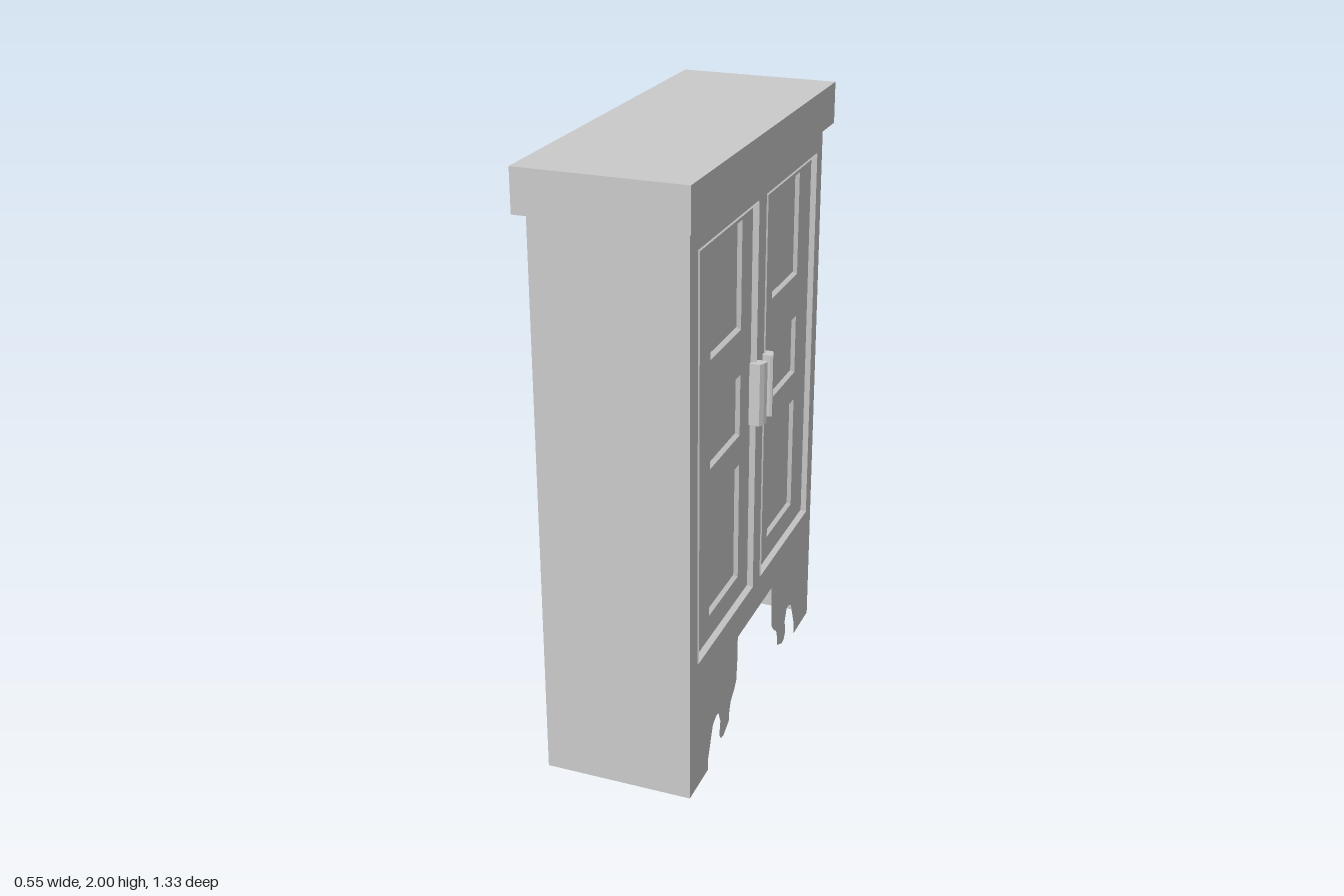
import * as THREE from 'three';

const W = 0.613, TOP = 1.865, FRONT = 0.235, BACK = -0.255;
const mat = new THREE.MeshStandardMaterial({ color: 0xcccccc, flatShading: true, side: THREE.DoubleSide });

// rectangle as [u0, y0, u1, y1]
const inset = ([a, b, c, d], t) => [a + t, b + t, c - t, d - t];
const corners = ([a, b, c, d]) => [[a, b], [c, b], [c, d], [a, d]];
const toPoints = (list) => list.map(([u, y]) => new THREE.Vector2(u, y));

function add(parent, name, geometry) {
  const mesh = new THREE.Mesh(geometry, mat);
  mesh.name = name;
  parent.add(mesh);
  return mesh;
}

// flat sheet facing +z with rectangular openings
function sheet(outline, holes = []) {
  const shape = new THREE.Shape(toPoints(outline));
  holes.forEach((r) => shape.holes.push(new THREE.Path(toPoints(corners(r)))));
  return new THREE.ShapeGeometry(shape);
}

// four sloping strips joining an outer rectangle to an inner one
function slopedRing(outer, zOuter, inner, zInner) {
  const o = corners(outer), n = corners(inner), pos = [];
  for (let i = 0; i < 4; i++) {
    const j = (i + 1) % 4;
    const a = [...o[i], zOuter], b = [...o[j], zOuter], c = [...n[j], zInner], d = [...n[i], zInner];
    pos.push(...a, ...b, ...c, ...a, ...c, ...d);
  }
  const g = new THREE.BufferGeometry();
  g.setAttribute('position', new THREE.Float32BufferAttribute(pos, 3));
  g.computeVertexNormals();
  return g;
}

// carcass outline with the scrolled cut between the feet
function carcassOutline() {
  const half = [[W, 0], [0.45, 0], [0.45, 0.04], [0.407, 0.145], [0.375, 0.16], [0.355, 0.157],
    [0.337, 0.115], [0.345, 0.065], [0.33, 0.043], [0.305, 0.04], [0.255, 0.063], [0.253, 0.09],
    [0.238, 0.13], [0.205, 0.155], [0.185, 0.18], [0.177, 0.25], [0.175, 0.34]];
  const mirrored = half.map(([u, y]) => [-u, y]).reverse();
  return [[W, TOP], ...half, ...mirrored, [-W, TOP]];
}

export function createModel() {
  const root = new THREE.Group();
  root.name = 'cupboard';
  // built facing +z, then turned so the doors face +x
  const body = new THREE.Group();
  body.name = 'cupboardBody';
  body.rotation.y = Math.PI / 2;
  root.add(body);

  const outline = carcassOutline();
  const doors = [[-0.55, 0.455, -0.038, 1.785], [0.038, 0.455, 0.55, 1.785]];
  add(body, 'frontFrame', sheet(outline, doors)).position.z = FRONT;
  const back = add(body, 'backPanel', sheet(outline));
  back.rotation.y = Math.PI;
  back.position.z = BACK;

  // side walls, open at the bottom
  for (const s of [-1, 1]) {
    const side = add(body, 'sidePanel', new THREE.PlaneGeometry(FRONT - BACK, TOP));
    side.rotation.y = s * Math.PI / 2;
    side.position.set(s * W, TOP / 2, (FRONT + BACK) / 2);
  }

  // overhanging top
  add(body, 'top', new THREE.BoxGeometry(1.33, 0.137, 0.533)).position.set(0, 1.9315, -0.0085);

  // doors: a low rim, a sunken leaf and three sunken panels each
  const leafZ = 0.222, panelZ = 0.21;
  doors.forEach((door, i) => {
    const s = i ? 1 : -1;
    const group = new THREE.Group();
    group.name = i ? 'rightDoor' : 'leftDoor';
    body.add(group);
    const rim = inset(door, 0.004), leaf = inset(door, 0.014);
    add(group, 'doorRim', slopedRing(door, FRONT, rim, 0.239));
    add(group, 'doorBevel', slopedRing(rim, 0.239, leaf, leafZ));
    const u0 = s > 0 ? 0.147 : -0.412, u1 = s > 0 ? 0.412 : -0.147;
    const panels = [[0.55, 0.955], [1.055, 1.26], [1.408, 1.755]].map(([y0, y1]) => [u0, y0, u1, y1]);
    add(group, 'doorLeaf', sheet(corners(leaf), panels)).position.z = leafZ;
    panels.forEach((p) => {
      const floor = inset(p, 0.01);
      add(group, 'panelBevel', slopedRing(p, leafZ, floor, panelZ));
      add(group, 'panel', sheet(corners(floor))).position.z = panelZ;
    });

    // upright faceted handle, leaning toward the middle
    const profile = [[0.03, 0.215], [0.063, 0.215], [0.063, 0.257], [0.045, 0.266], [0.028, 0.27], [0.022, 0.262], [0.024, 0.235]];
    const shape = new THREE.Shape(toPoints(profile.map(([u, z]) => [s * u, -z])));
    const grip = new THREE.ExtrudeGeometry(shape, { depth: 0.21, bevelEnabled: false });
    grip.rotateX(-Math.PI / 2);
    add(group, 'handle', grip).position.y = 1.055;
  });
  return root;
}
